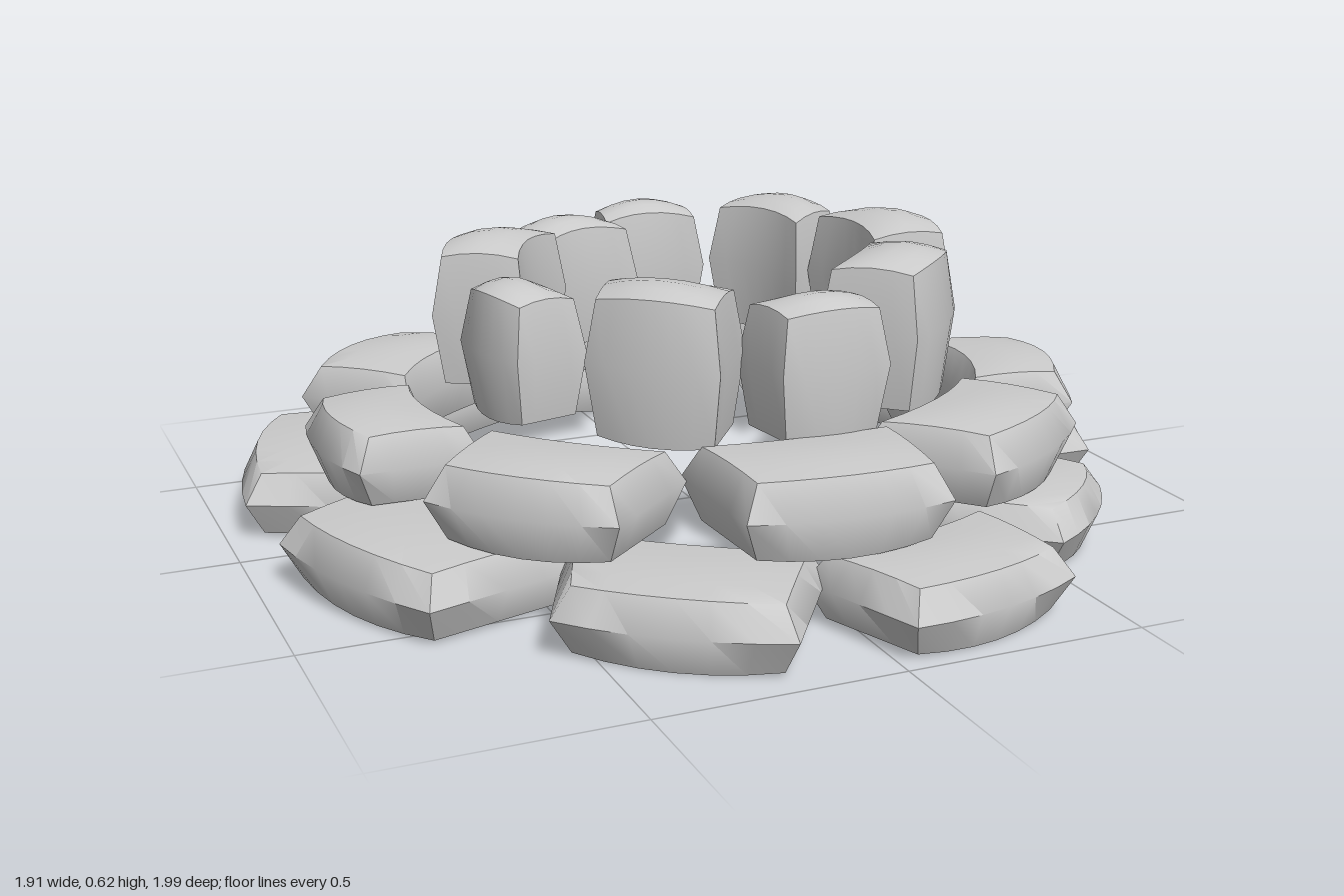
import * as THREE from 'three';
import { toCreasedNormals } from 'three/addons/utils/BufferGeometryUtils.js';

const material = new THREE.MeshStandardMaterial({ color: 0xcccccc, side: THREE.DoubleSide });
const NU = 6, NV = 4; // cells along and across a stone

const hump = (t) => 1 - (2 * t - 1) ** 2;

// Outline cells of a stone in order: outer edge, side, inner edge, side
function outline() {
  const loop = [];
  for (let i = 0; i < NU; i++) loop.push([i, 0]);
  for (let j = 0; j < NV; j++) loop.push([NU, j]);
  for (let i = NU; i > 0; i--) loop.push([i, NV]);
  for (let j = NV; j > 0; j--) loop.push([0, j]);
  return loop;
}

// A curved block facing +x: bevelled walls, a crowned top and an open underside.
// The inner end flares and is sheared sideways by the skew.
function stoneGeometry(width, skew, { y0, y1, rise, inset, bow, crown, flare }) {
  const depth = width * 0.71;
  const top = y1 + rise * width;
  const point = (i, j, shrink, y) => {
    const v = j / NV;
    const span = width * THREE.MathUtils.lerp(1, flare, v) - 2 * shrink;
    return [
      -shrink - (depth - 2 * shrink) * v + bow * hump(i / NU),
      y,
      span * (i / NU - 0.5) + depth * v * Math.tan(skew),
    ];
  };
  const topPoint = (i, j) => {
    const hu = hump(i / NU), hv = hump(j / NV);
    return point(i, j, inset, top + crown * (0.4 * hu + 0.3 * hv + 0.3 * hu * hv));
  };

  const loop = outline();
  const layers = [
    loop.map(([i, j]) => point(i, j, inset, y0 - 0.007 * hump(i / NU))),
    loop.map(([i, j]) => point(i, j, 0, y0 + (top - y0) * 0.55)),
    loop.map(([i, j]) => topPoint(i, j)),
  ];
  const positions = [];
  const quad = (p, q, r, s) => positions.push(...p, ...q, ...r, ...p, ...r, ...s);

  // Walls
  for (let k = 0; k < 2; k++) {
    loop.forEach((_, n) => {
      const m = (n + 1) % loop.length;
      quad(layers[k][n], layers[k + 1][n], layers[k + 1][m], layers[k][m]);
    });
  }
  // Top
  for (let i = 0; i < NU; i++) {
    for (let j = 0; j < NV; j++) {
      quad(topPoint(i, j), topPoint(i, j + 1), topPoint(i + 1, j + 1), topPoint(i + 1, j));
    }
  }
  const geometry = new THREE.BufferGeometry();
  geometry.setAttribute('position', new THREE.Float32BufferAttribute(positions, 3));
  return toCreasedNormals(geometry, 0.9);
}

// One course of stones, each given as angle, outer radius, width and twist (degrees)
function makeCourse(name, shape, stones) {
  const course = new THREE.Group();
  course.name = name + 'Course';
  for (const [angle, radius, width, twist] of stones) {
    const a = THREE.MathUtils.degToRad(angle);
    const t = THREE.MathUtils.degToRad(twist);
    const stone = new THREE.Mesh(stoneGeometry(width, t * 0.55, shape), material);
    stone.name = name;
    stone.position.set(radius * Math.cos(a), 0, radius * Math.sin(a));
    stone.rotation.y = -a - t;
    course.add(stone);
  }
  return course;
}

export function createModel() {
  const model = new THREE.Group();
  model.name = 'stoneRing';
  const base = { y0: 0.012, y1: 0.12, rise: 0.05, inset: 0.032, bow: 0.03, crown: 0.014, flare: 1.13 };
  const middle = { y0: 0.158, y1: 0.25, rise: 0.14, inset: 0.032, bow: 0.03, crown: 0.015, flare: 1.08 };
  const top = { y0: 0.305, y1: 0.385, rise: 0.7, inset: 0.018, bow: 0.02, crown: 0.032, flare: 1.04 };
  model.add(
    makeCourse('baseStone', base, [
      [2, 0.91, 0.47, 8],
      [44, 0.87, 0.37, 1],
      [77, 0.97, 0.41, -1],
      [115, 0.93, 0.46, 11],
      [157, 0.93, 0.49, 2],
      [201, 0.95, 0.48, -3],
      [242, 0.94, 0.41, -5],
      [281, 0.94, 0.47, 8],
      [322, 0.92, 0.39, -2],
    ]),
    makeCourse('middleStone', middle, [
      [13, 0.81, 0.35, -2],
      [50, 0.79, 0.4, 6],
      [91, 0.8, 0.42, 3],
      [136, 0.81, 0.4, -2],
      [177, 0.81, 0.36, -1],
      [216, 0.79, 0.38, 13],
      [257, 0.76, 0.36, -2],
      [297, 0.74, 0.38, 8],
      [341, 0.72, 0.35, 5],
    ]),
    makeCourse('topStone', top, [
      [1, 0.56, 0.29, -1],
      [45, 0.55, 0.29, 0],
      [83, 0.57, 0.24, 4],
      [121, 0.54, 0.28, 12],
      [163, 0.53, 0.23, 5],
      [204, 0.51, 0.28, 13],
      [248, 0.47, 0.24, 6],
      [279, 0.55, 0.24, -5],
      [321, 0.55, 0.27, 18],
    ]),
  );
  return model;
}
